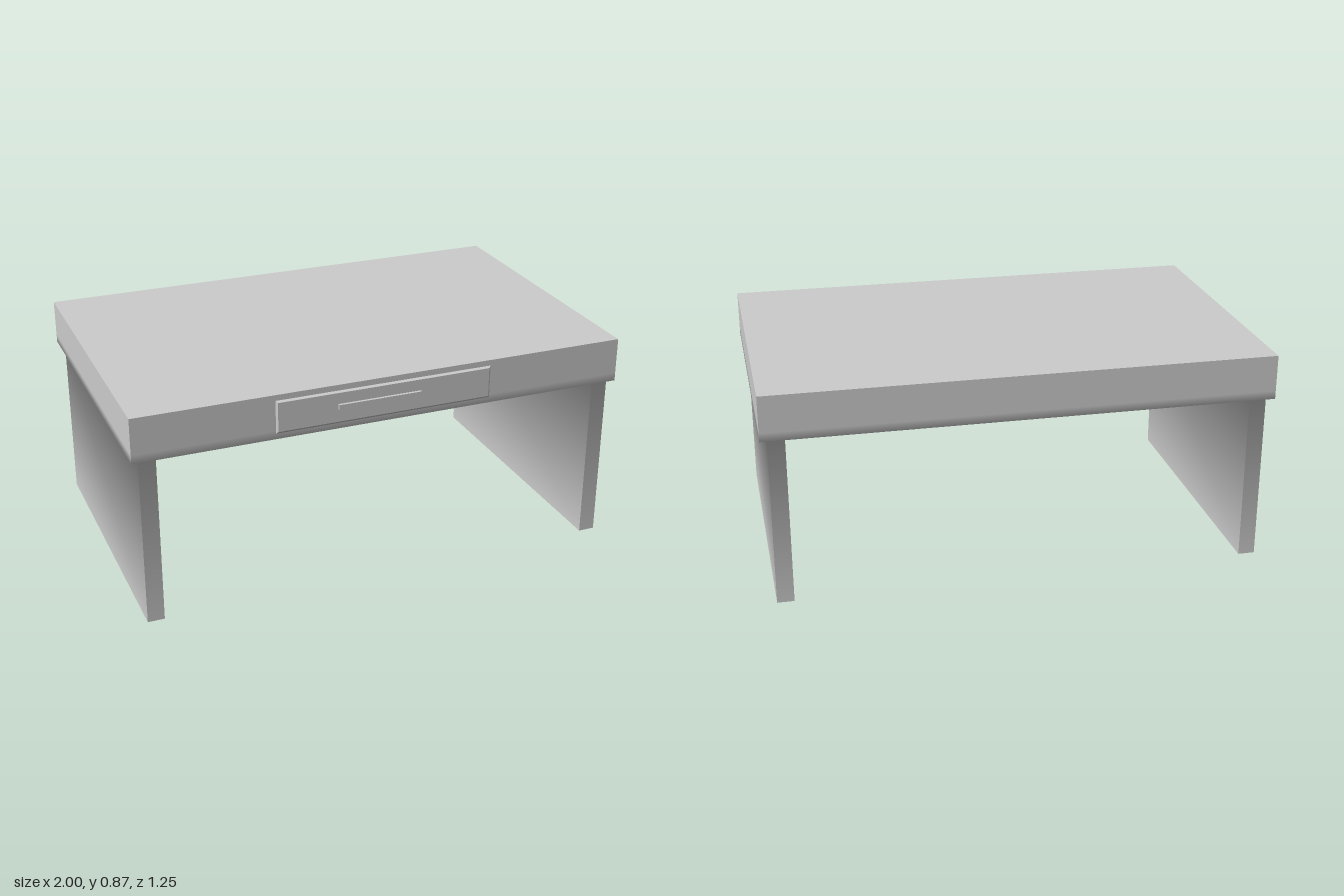
import * as THREE from 'three';

const grey = new THREE.MeshStandardMaterial({ color: 0xcccccc });

// Rectangular loft from top to bottom: rings are [y, x0, x1, z0, z1, tilt].
// Vertical edges stay sharp; tilt leans a ring's normals down for smooth shading.
function loft(name, rings) {
  const pos = [], nor = [], idx = [];
  const corners = ([y, x0, x1, z0, z1]) =>
    [[x0, y, z1], [x1, y, z1], [x1, y, z0], [x0, y, z0]];
  const outs = [[0, 1], [1, 0], [0, -1], [-1, 0]];
  const add = (p, n) => { pos.push(...p); nor.push(n.x, n.y, n.z); };

  // four walls
  outs.forEach(([nx, nz], s) => {
    rings.forEach((ring, r) => {
      const c = corners(ring), b = pos.length / 3;
      const n = new THREE.Vector3(nx, -(ring[5] || 0), nz).normalize();
      add(c[s], n);
      add(c[(s + 1) % 4], n);
      if (r < rings.length - 1) idx.push(b, b + 2, b + 3, b, b + 3, b + 1);
    });
  });

  // top and bottom caps
  [[rings[0], 1], [rings[rings.length - 1], -1]].forEach(([ring, dir]) => {
    const b = pos.length / 3;
    corners(ring).forEach(p => add(p, new THREE.Vector3(0, dir, 0)));
    idx.push(...(dir > 0 ? [0, 1, 2, 0, 2, 3] : [0, 2, 1, 0, 3, 2]).map(i => i + b));
  });

  const geo = new THREE.BufferGeometry();
  geo.setAttribute('position', new THREE.Float32BufferAttribute(pos, 3));
  geo.setAttribute('normal', new THREE.Float32BufferAttribute(nor, 3));
  geo.setIndex(idx);
  const mesh = new THREE.Mesh(geo, grey);
  mesh.name = name;
  return mesh;
}

// Shallow panel on the front face with a narrow bevelled rim
function panel(name, x0, x1, y0, y1, z0, z1, rim) {
  const mesh = loft(name, [
    [z1, x0 + rim, x1 - rim, -y1 + rim, -y0 - rim],
    [z1 - 0.004, x0, x1, -y1, -y0],
    [z0, x0, x1, -y1, -y0],
  ]);
  mesh.rotation.x = Math.PI / 2;
  // after the turn, loft height runs along +z and loft z runs along -y
  return mesh;
}

export function createModel() {
  const desk = new THREE.Group();
  desk.name = 'desk';

  // thick top
  desk.add(loft('deskTop', [
    [0.865, -1, 1, -0.625, 0.615],
    [0.72, -1, 1, -0.625, 0.615],
    [0.686, -1, 1, -0.625, 0.615, 0.7],
  ]));

  // side panels, flaring into the top
  for (const side of [-1, 1]) {
    const ring = (y, inner, outer, z0, z1, tilt) => side > 0
      ? [y, inner, outer, z0, z1, tilt]
      : [y, -outer, -inner, z0, z1, tilt];
    desk.add(loft(side > 0 ? 'leftLeg' : 'rightLeg', [
      ring(0.686, 0.885, 1, -0.625, 0.615, 0.8),
      ring(0.677, 0.905, 0.972, -0.6, 0.598, 0.8),
      ring(0, 0.905, 0.972, -0.6, 0.598, 0),
    ]));
  }

  // drawer front and its handle
  desk.add(panel('drawerFront', -0.45, 0.43, 0.71, 0.842, 0.6, 0.622, 0.007));
  desk.add(panel('drawerHandle', -0.205, 0.135, 0.768, 0.79, 0.61, 0.629, 0.002));

  return desk;
}
